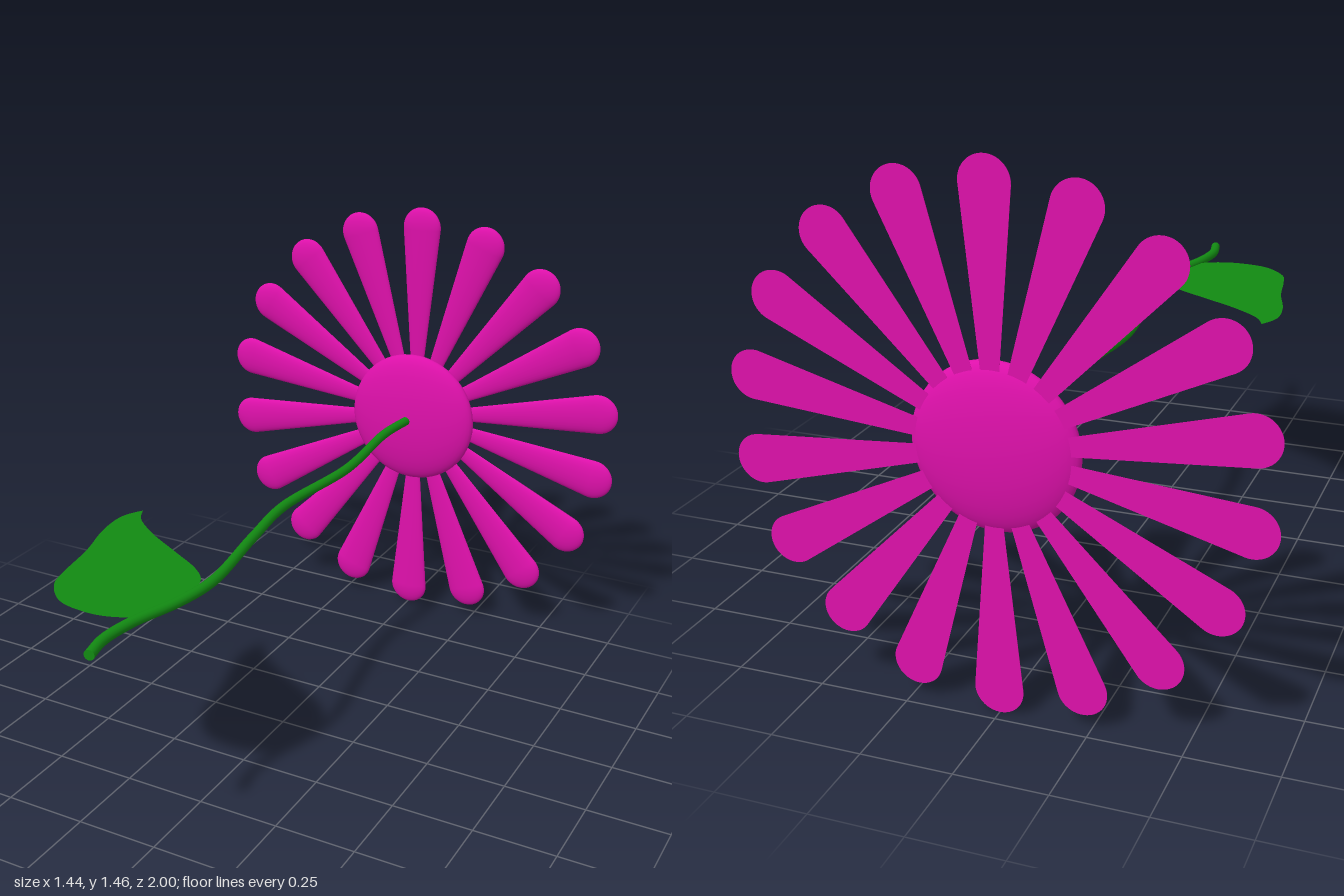
import * as THREE from 'three';

const CENTRE_Y = 0.73;
const PETALS = 18;

// Half-round petal along +y: a tapering half cone with a round tip, flat at the back
function petalGeometries() {
  const tipR = 0.067, tipY = 0.663, baseR = 0.022, baseY = 0.17;
  const profile = [new THREE.Vector2(0, baseY), new THREE.Vector2(baseR, baseY)];
  for (let i = 0; i <= 12; i++) {
    const a = 0.09 * -1 + (i / 12) * (Math.PI / 2 + 0.09);
    profile.push(new THREE.Vector2(Math.max(0, tipR * Math.cos(a)), tipY + tipR * Math.sin(a)));
  }
  const front = new THREE.LatheGeometry(profile, 16, -Math.PI / 2, Math.PI);
  front.scale(1, 1, 0.32);

  const mirrored = profile.slice(1, -1).reverse().map(p => new THREE.Vector2(-p.x, p.y));
  const back = new THREE.ShapeGeometry(new THREE.Shape([...profile.slice(1), ...mirrored]));
  back.rotateY(Math.PI);
  return { front, back };
}

export function createModel() {
  const model = new THREE.Group();
  const pink = new THREE.MeshStandardMaterial({ color: 0xdd10aa });
  const pinkThin = new THREE.MeshStandardMaterial({ color: 0xdd10aa, side: THREE.DoubleSide });
  const green = new THREE.MeshStandardMaterial({ color: 0x128a12 });
  const greenThin = new THREE.MeshStandardMaterial({ color: 0x128a12, side: THREE.DoubleSide });

  const add = (parent, name, geometry, material) => {
    const mesh = new THREE.Mesh(geometry, material);
    mesh.name = name;
    parent.add(mesh);
    return mesh;
  };

  // Flattened flower centre
  const disc = add(model, 'flowerCentre', new THREE.SphereGeometry(0.225, 48, 32), pink);
  disc.scale.z = 0.055 / 0.225;
  disc.position.set(0, CENTRE_Y, -0.945);

  // Ring of petals
  const petals = new THREE.Group();
  petals.name = 'petals';
  petals.position.set(0, CENTRE_Y, -0.967);
  const { front, back } = petalGeometries();
  for (let i = 0; i < PETALS; i++) {
    const petal = new THREE.Group();
    petal.name = 'petal';
    petal.rotation.z = (i / PETALS) * Math.PI * 2;
    add(petal, 'petalFront', front, pinkThin);
    add(petal, 'petalBack', back, pink);
    petals.add(petal);
  }
  model.add(petals);

  // Wavy stem with a closed end
  const path = new THREE.CatmullRomCurve3([
    [0, -0.92], [-0.014, -0.75], [0.014, -0.4], [-0.02, -0.04], [0.01, 0.2],
    [0.055, 0.5], [0.04, 0.64], [-0.005, 0.8], [-0.016, 0.91], [0, 0.993],
  ].map(([x, z]) => new THREE.Vector3(x, CENTRE_Y, z)));
  add(model, 'stem', new THREE.TubeGeometry(path, 100, 0.015, 16), green);
  const cap = add(model, 'stemEnd', new THREE.CircleGeometry(0.015, 16), green);
  cap.position.copy(path.getPoint(1));
  cap.lookAt(path.getPoint(1).add(path.getTangent(1)));

  // Flat leaf beside the stem, outlined in x and z
  const leaf = new THREE.Shape();
  leaf.moveTo(-0.375, 0.19);
  leaf.splineThru([
    [-0.34, 0.25], [-0.25, 0.32], [-0.13, 0.39], [-0.03, 0.45], [0.025, 0.51], [0.043, 0.6],
    [0.035, 0.7], [0, 0.76], [-0.07, 0.8], [-0.15, 0.81], [-0.24, 0.79], [-0.31, 0.72],
    [-0.335, 0.64], [-0.36, 0.5], [-0.395, 0.38], [-0.408, 0.29], [-0.4, 0.235], [-0.375, 0.19],
  ].map(([x, z]) => new THREE.Vector2(x, z)));
  const leafGeometry = new THREE.ShapeGeometry(leaf, 5);
  leafGeometry.rotateX(Math.PI / 2);
  add(model, 'leaf', leafGeometry, greenThin).position.y = CENTRE_Y;

  return model;
}
